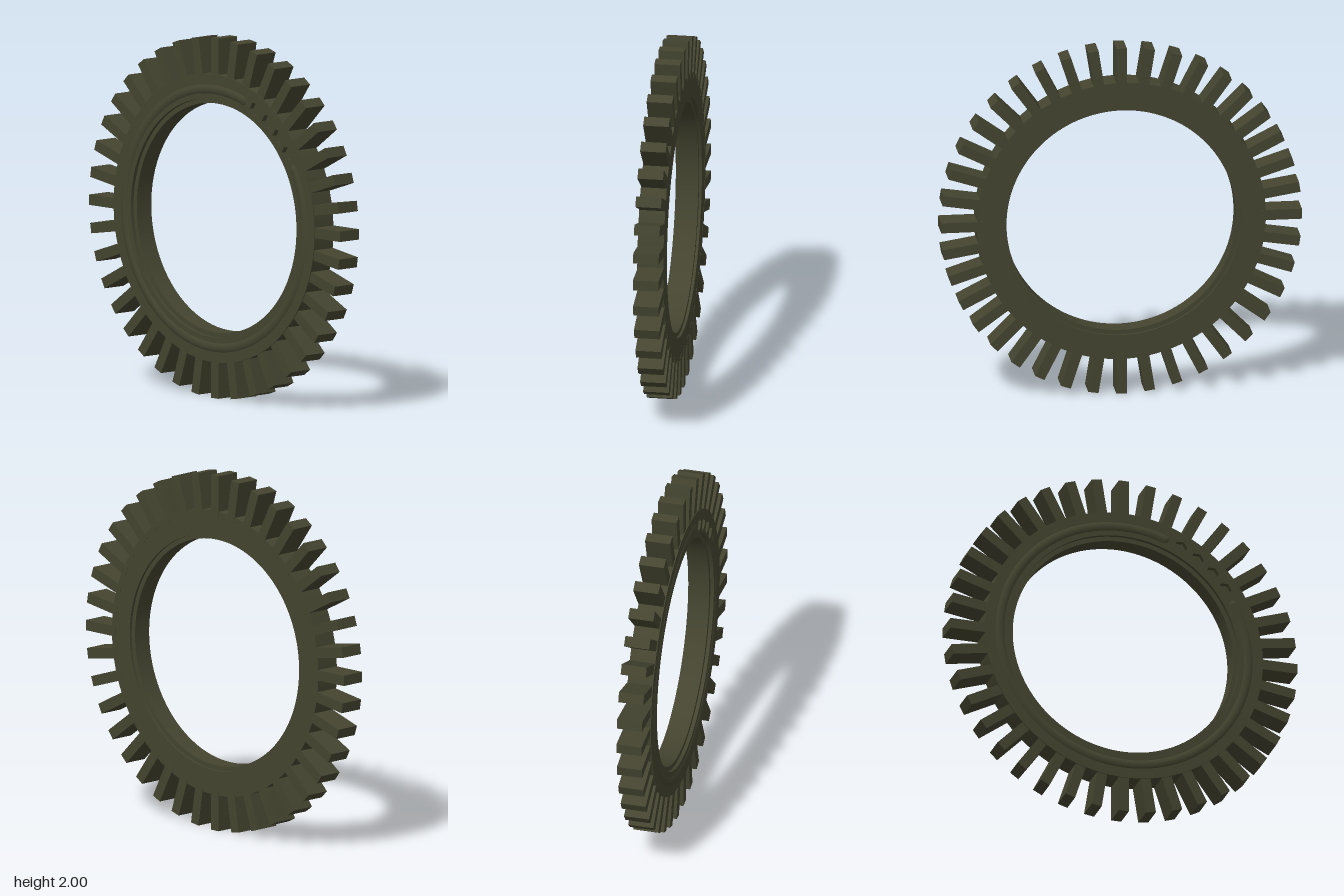
import * as THREE from 'three';
import { toCreasedNormals } from 'three/addons/utils/BufferGeometryUtils.js';

const RAD = Math.PI / 180;
const TEETH = 40;
const HOLE_R = 0.716; // radius on which ridge and sockets sit

// Flat ring from z0 to z1, with optional extra cut-outs
function ring(outer, inner, z0, z1, cutouts = []) {
  const shape = new THREE.Shape();
  shape.absarc(0, 0, outer, 0, Math.PI * 2, false);
  const bore = new THREE.Path();
  bore.absarc(0, 0, inner, 0, Math.PI * 2, true);
  shape.holes.push(bore, ...cutouts);
  const geo = new THREE.ExtrudeGeometry(shape, { depth: z1 - z0, bevelEnabled: false, curveSegments: 96 });
  geo.translate(0, 0, z0);
  return toCreasedNormals(geo, 0.5);
}

// Six-sided cut-out centred at the given angle
function hexCutout(deg) {
  const cx = HOLE_R * Math.cos(deg * RAD), cy = HOLE_R * Math.sin(deg * RAD);
  const points = [];
  for (let i = 0; i < 6; i++) {
    const a = -i * 60 * RAD;
    points.push(new THREE.Vector2(cx + 0.04 * Math.cos(a), cy + 0.04 * Math.sin(a)));
  }
  return new THREE.Path(points);
}

export function createModel() {
  const group = new THREE.Group();
  group.name = 'gearRing';
  const olive = new THREE.MeshStandardMaterial({ color: 0x444430 });
  olive.name = 'darkOlive';

  const wheel = new THREE.Group();
  wheel.name = 'wheel';
  wheel.position.y = 1;
  group.add(wheel);

  const add = (name, geo, parent = wheel) => {
    const mesh = new THREE.Mesh(geo, olive);
    mesh.name = name;
    parent.add(mesh);
    return mesh;
  };

  // Main ring, front plate with hexagonal sockets, recessed inner lip
  add('ringBody', ring(0.8, 0.662, -0.075, 0.04));
  add('frontPlate', ring(0.8, 0.662, 0.04, 0.07, [63, 54, 45, 36].map(hexCutout)));
  add('innerLip', ring(0.67, 0.636, -0.06, 0.05));

  // Raised rounded ridge that stops either side of the sockets
  const tube = 0.048, ridgeZ = 0.029, start = 71, end = 388;
  const ridge = add('ridge', new THREE.TorusGeometry(HOLE_R, tube, 24, 120, (end - start) * RAD));
  ridge.rotation.z = start * RAD;
  ridge.position.z = ridgeZ;
  for (const deg of [start, end]) {
    const cap = add('ridgeEnd', new THREE.SphereGeometry(tube, 24, 16));
    cap.position.set(HOLE_R * Math.cos(deg * RAD), HOLE_R * Math.sin(deg * RAD), ridgeZ);
  }

  // Straight radial teeth
  const teeth = new THREE.Group();
  teeth.name = 'teeth';
  wheel.add(teeth);
  const toothGeo = new THREE.BoxGeometry(0.23, 0.058, 0.142);
  toothGeo.translate(0.885, 0, -0.006);
  for (let i = 0; i < TEETH; i++) {
    add('tooth', toothGeo, teeth).rotation.z = (i / TEETH) * Math.PI * 2;
  }
  return group;
}
